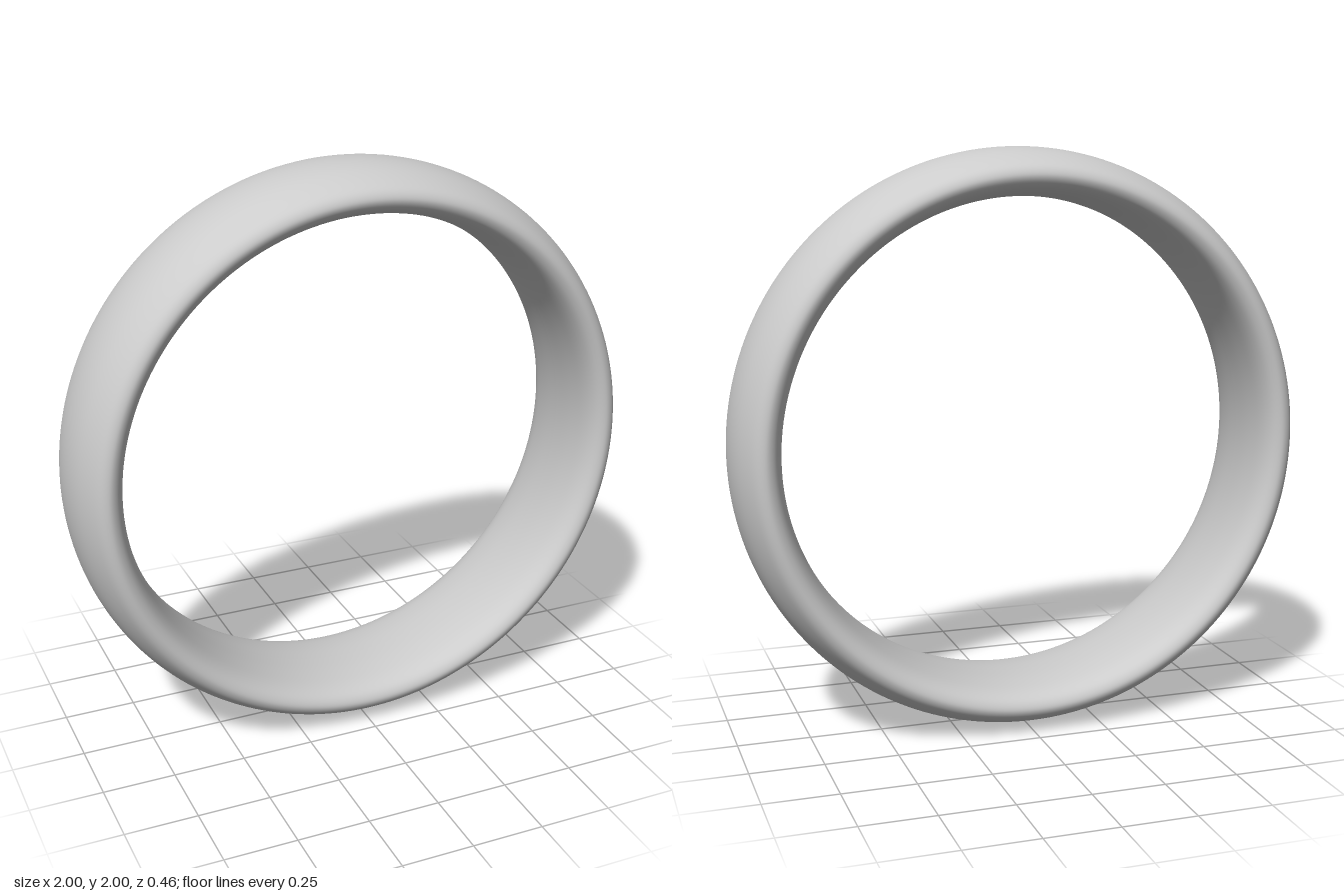
import * as THREE from 'three';

export function createModel() {
  const group = new THREE.Group();
  group.name = 'ring';

  // Half of the band's cross-section (radius, offset along the axis), from inner to outer middle
  const half = [
    [0.835, 0], [0.84, -0.1], [0.856, -0.18], [0.878, -0.217], [0.905, -0.23],
    [0.929, -0.222], [0.951, -0.196], [0.987, -0.108], [1, 0],
  ];
  const mirrored = half.slice(1, -1).reverse().map(([r, z]) => [r, -z]);
  const section = new THREE.CatmullRomCurve3(
    [...half, ...mirrored].map(([r, z]) => new THREE.Vector3(r, z, 0)), true, 'centripetal');
  const profile = section.getPoints(80).map((p) => new THREE.Vector2(p.x, p.y));

  // Domed band with a softly rounded inside, standing on its edge
  const geometry = new THREE.LatheGeometry(profile, 192);
  geometry.rotateX(Math.PI / 2);
  const band = new THREE.Mesh(geometry, new THREE.MeshStandardMaterial({ color: 0xcccccc }));
  band.name = 'band';
  band.position.y = 1;
  group.add(band);

  return group;
}
